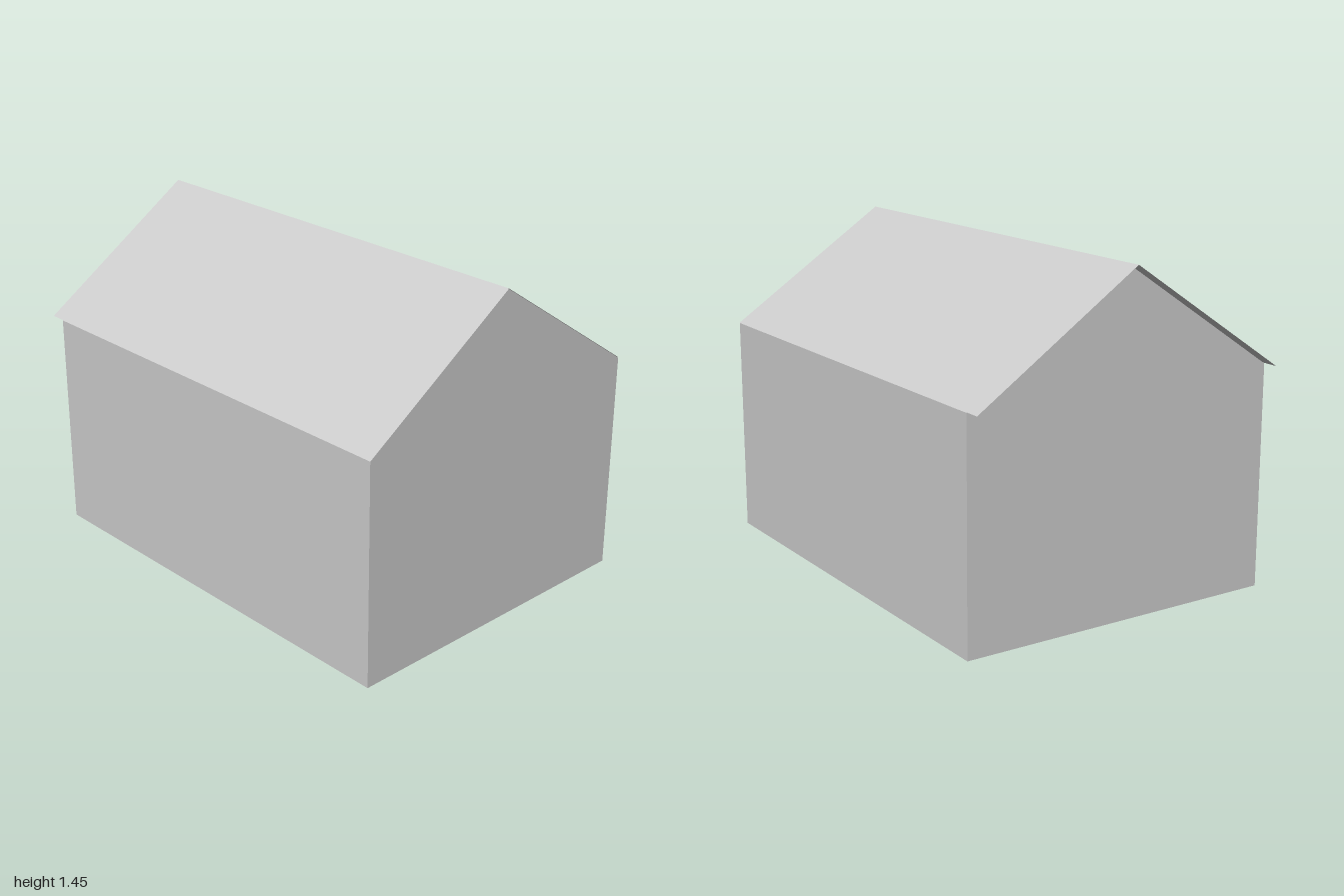
import * as THREE from 'three';

const HALF = 0.72, EAVES = 0.965, PEAK = 1.445;
const FRONT = 1, BACK = -0.93, ROOF_BACK = -1;
const GROOVE = 0.165; // depth of the channel in the underside

const material = new THREE.MeshStandardMaterial({ color: 0xcccccc, flatShading: true });
const sheetMaterial = new THREE.MeshStandardMaterial({ color: 0xcccccc, flatShading: true, side: THREE.DoubleSide });

const points = (list) => list.map(([x, y]) => new THREE.Vector2(x, y));

export function createModel() {
  const group = new THREE.Group();
  const add = (name, geometry, mat = material) => {
    const mesh = new THREE.Mesh(geometry, mat);
    mesh.name = name;
    group.add(mesh);
    return mesh;
  };

  // Base slab: plan drawn in x and -z, with an L-shaped channel open below
  const plan = new THREE.Shape(points([
    [-HALF, -FRONT], [HALF, -FRONT], [HALF, -BACK], [-HALF, -BACK],
  ]));
  plan.holes.push(new THREE.Path(points([
    [-HALF + 0.002, -0.04], [0.245, -0.04], [0.245, -0.52],
    [0.115, -0.52], [0.115, -0.19], [-HALF + 0.002, -0.19],
  ])));
  const base = new THREE.ExtrudeGeometry(plan, { depth: GROOVE, bevelEnabled: false });
  base.rotateX(-Math.PI / 2);
  add('base', base);

  // Walls and gables, set just under the roof sheets
  const gap = 0.002;
  const gable = new THREE.Shape(points([
    [-HALF, GROOVE], [HALF, GROOVE], [HALF, EAVES - gap], [0, PEAK - gap], [-HALF, EAVES - gap],
  ]));
  const walls = new THREE.ExtrudeGeometry(gable, { depth: FRONT - BACK, bevelEnabled: false });
  walls.translate(0, 0, BACK);
  add('walls', walls);

  // Two thin roof slopes overhanging the back gable
  const rise = PEAK - EAVES;
  for (const side of [-1, 1]) {
    const slope = new THREE.PlaneGeometry(Math.hypot(HALF, rise), FRONT - ROOF_BACK);
    slope.rotateX(-Math.PI / 2);
    slope.rotateZ(-side * Math.atan2(rise, HALF));
    slope.translate(side * HALF / 2, (EAVES + PEAK) / 2, 0);
    add(side > 0 ? 'leftRoofSlope' : 'rightRoofSlope', slope, sheetMaterial);
  }

  return group;
}
